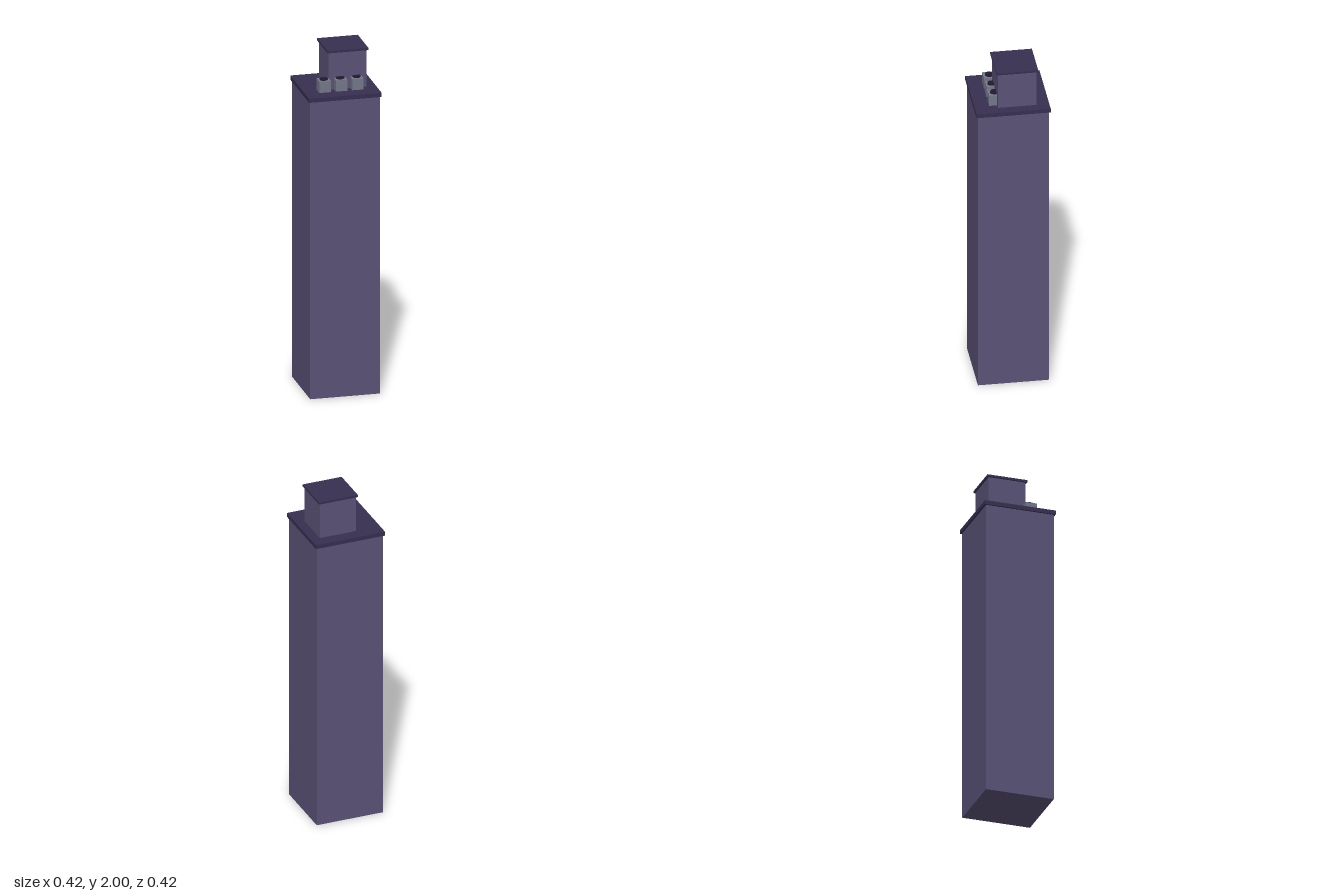
import * as THREE from 'three';

const material = (color) => new THREE.MeshStandardMaterial({ color, flatShading: true });

export function createModel() {
  const model = new THREE.Group();
  model.name = 'towerBlock';
  const wall = material(0x5a5277);
  const trim = material(0x372f50);
  const metal = material(0x737888);
  const dark = material(0x221a30);

  // Square block resting on height y
  function block(name, width, height, x, y, z, mat, parent = model) {
    const mesh = new THREE.Mesh(new THREE.BoxGeometry(width, height, width), mat);
    mesh.name = name;
    mesh.position.set(x, y + height / 2, z);
    parent.add(mesh);
  }

  // Main shaft and its overhanging roof slab
  block('towerBody', 0.4, 1.747, 0, 0, 0, wall);
  block('roofSlab', 0.418, 0.024, 0, 1.747, 0, trim);

  // Rooftop penthouse, set back from the front
  block('penthouse', 0.219, 0.217, 0.046, 1.771, -0.028, wall);
  block('penthouseRoof', 0.235, 0.013, 0.046, 1.987, -0.028, trim);

  // Row of rooftop ventilation units, each with a round fan on top
  for (const x of [-0.095, 0, 0.094]) {
    const unit = new THREE.Group();
    unit.name = 'ventilationUnit';
    unit.position.set(x, 1.771, 0.093);
    block('unitHousing', 0.066, 0.066, 0, 0, 0, metal, unit);
    const fan = new THREE.Mesh(new THREE.CylinderGeometry(0.023, 0.023, 0.008, 10), dark);
    fan.name = 'unitFan';
    fan.position.y = 0.07;
    unit.add(fan);
    model.add(unit);
  }

  return model;
}
